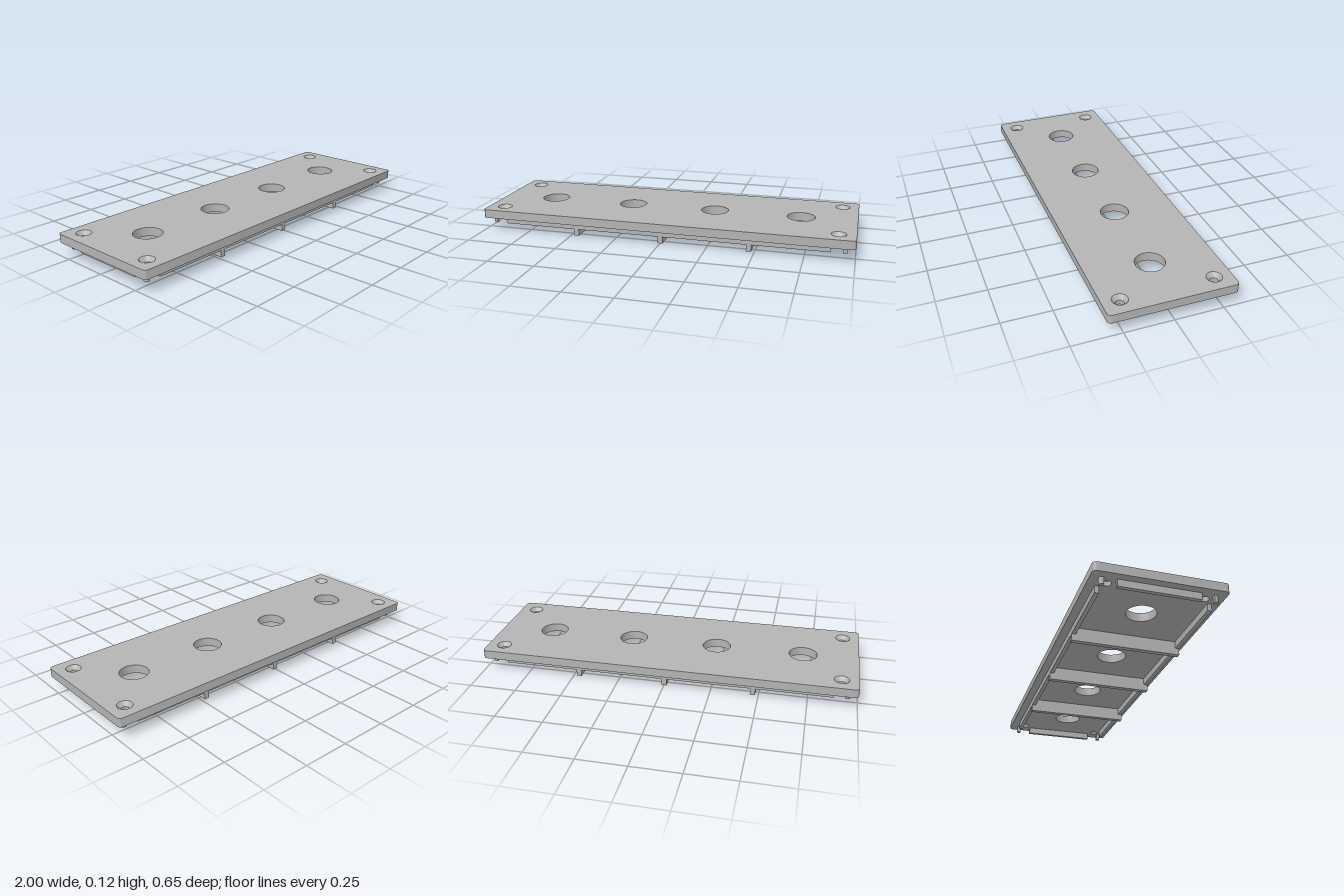
import * as THREE from 'three';
import { toCreasedNormals } from 'three/addons/utils/BufferGeometryUtils.js';

const grey = new THREE.MeshStandardMaterial({ color: 0xb4b4b4 });
grey.name = 'plain grey';

const TOP = 0.118, UNDER = 0.072, RAIL_FOOT = 0.036;
const OUT_X = 0.96, OUT_Z = 0.283, WALL = 0.021;
const SCREW_X = 0.912, SCREW_Z = 0.235, SINK = 0.039, BORE = 0.021;

export function createModel() {
  const group = new THREE.Group();

  const add = (name, geometry, x = 0, y = 0, z = 0) => {
    const mesh = new THREE.Mesh(geometry, grey);
    mesh.name = name;
    mesh.position.set(x, y, z);
    group.add(mesh);
  };
  // Box given by its centre in plan and its bottom and top heights
  const bar = (name, w, d, x, z, y0, y1) =>
    add(name, new THREE.BoxGeometry(w, y1 - y0, d), x, (y0 + y1) / 2, z);

  // Cover plate with rounded corners
  const w = 1, d = 0.324, r = 0.02;
  const shape = new THREE.Shape();
  shape.absarc(w - r, d - r, r, 0, Math.PI / 2);
  shape.absarc(-w + r, d - r, r, Math.PI / 2, Math.PI);
  shape.absarc(-w + r, -d + r, r, Math.PI, Math.PI * 1.5);
  shape.absarc(w - r, -d + r, r, Math.PI * 1.5, Math.PI * 2);
  const punch = (x, z, radius) => {
    const hole = new THREE.Path();
    hole.absarc(x, z, radius, 0, Math.PI * 2, true);
    shape.holes.push(hole);
  };
  for (const x of [-0.705, -0.235, 0.235, 0.705]) punch(x, 0, 0.075);
  for (const sx of [-1, 1]) for (const sz of [-1, 1]) punch(sx * SCREW_X, sz * SCREW_Z, SINK);
  const plate = new THREE.ExtrudeGeometry(shape, { depth: TOP - UNDER, bevelEnabled: false, curveSegments: 20 });
  plate.rotateX(-Math.PI / 2);
  add('coverPlate', toCreasedNormals(plate, 0.6), 0, UNDER, 0);

  // Countersunk screw seats
  const seat = toCreasedNormals(new THREE.LatheGeometry([
    [SINK, TOP], [BORE, 0.096], [BORE, UNDER], [SINK + 0.001, UNDER],
  ].map(([x, y]) => new THREE.Vector2(x, y)), 40), 0.5);

  // Corner posts, rounded on the outer corner
  const postShape = new THREE.Shape();
  postShape.moveTo(0, 0);
  postShape.lineTo(WALL, 0);
  postShape.lineTo(WALL, WALL / 2);
  postShape.absarc(WALL / 2, WALL / 2, WALL / 2, 0, Math.PI / 2);
  postShape.lineTo(0, WALL);
  const post = new THREE.ExtrudeGeometry(postShape, { depth: UNDER - RAIL_FOOT, bevelEnabled: false, curveSegments: 6 });
  post.translate(-WALL / 2, -WALL / 2, 0);
  post.rotateX(-Math.PI / 2);
  const turn = { '1,-1': 0, '-1,-1': 1, '-1,1': 2, '1,1': 3 };

  for (const sx of [-1, 1]) {
    for (const sz of [-1, 1]) {
      add('screwSeat', seat, sx * SCREW_X, 0, sz * SCREW_Z);
      add('cornerPost', post.clone().rotateY(turn[`${sx},${sz}`] * Math.PI / 2),
        sx * (OUT_X - WALL / 2), RAIL_FOOT, sz * (OUT_Z - WALL / 2));
    }
    bar('endRail', WALL, 0.402, sx * (OUT_X - WALL / 2), 0, RAIL_FOOT, UNDER);
    bar('longRail', 1.76, WALL, 0, sx * (OUT_Z - WALL / 2), RAIL_FOOT, UNDER);
  }

  // Cross ribs under the plate
  for (const x of [-0.47, 0, 0.47]) bar('crossRib', 0.027, OUT_Z * 2, x, 0, 0, UNDER);

  return group;
}
